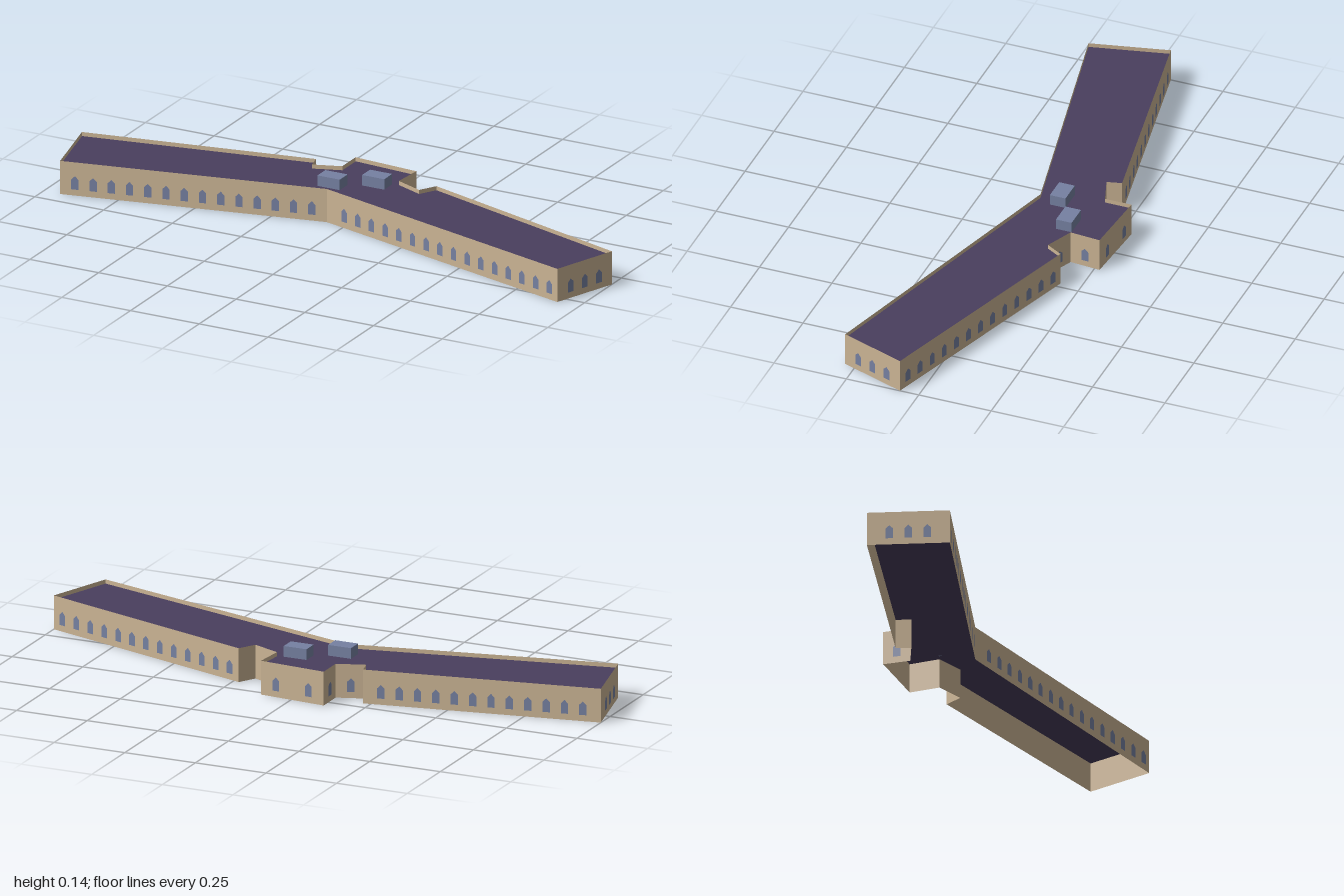
import * as THREE from 'three';

const WALL_H = 0.114, ROOF_Y = 0.1, PITCH = 0.0609;

// Footprint corners [x, z], each with the windows on the wall that starts there:
// count, spacing, and shift along the wall.
const PLAN = [
  { p: [-1, -0.07], n: 3 },                           // right end
  { p: [-0.94, 0.19], n: 14 },                        // right wing front
  { p: [-0.068, 0.007], n: 16, shift: 0.022 },        // left wing front
  { p: [0.92, 0.286], n: 3 },                         // left end
  { p: [1, 0.065], n: 13 },                           // left wing back
  { p: [0.23, -0.181], n: 0 },
  { p: [0.197, -0.125], n: 1 },
  { p: [0.102, -0.165], n: 1 },
  { p: [0.11, -0.268], n: 2, pitch: 0.12 },           // centre block back
  { p: [-0.12, -0.286], n: 1 },
  { p: [-0.12, -0.195], n: 1 },
  { p: [-0.213, -0.163], n: 0 },
  { p: [-0.225, -0.212], n: 12 },                     // right wing back
];

function windowGeometry() {
  const w = 0.0122;
  return new THREE.ShapeGeometry(new THREE.Shape([
    new THREE.Vector2(-w, 0.021), new THREE.Vector2(w, 0.021),
    new THREE.Vector2(w, 0.055), new THREE.Vector2(0, 0.067),
    new THREE.Vector2(-w, 0.055),
  ]));
}

export function createModel() {
  const stone = new THREE.MeshStandardMaterial({ color: 0xccb595, side: THREE.DoubleSide });
  stone.name = 'sandstone';
  const slate = new THREE.MeshStandardMaterial({ color: 0x4a3f5e, side: THREE.DoubleSide });
  slate.name = 'purple roofing';
  const blue = new THREE.MeshStandardMaterial({ color: 0x7681a2 });
  blue.name = 'blue grey';

  const model = new THREE.Group();
  model.name = 'building';
  const add = (parent, name, geometry, material, x = 0, y = 0, z = 0) => {
    const mesh = new THREE.Mesh(geometry, material);
    mesh.name = name;
    mesh.position.set(x, y, z);
    parent.add(mesh);
  };

  // Walls are thin sheets; each side carries its own row of pointed windows
  const pane = windowGeometry();
  PLAN.forEach(({ p, n, pitch = PITCH, shift = 0 }, i) => {
    const q = PLAN[(i + 1) % PLAN.length].p;
    const dx = q[0] - p[0], dz = q[1] - p[1];
    const side = new THREE.Group();
    side.name = 'wallSide';
    side.position.set((p[0] + q[0]) / 2, 0, (p[1] + q[1]) / 2);
    side.rotation.y = Math.atan2(-dz, dx);
    add(side, 'wall', new THREE.PlaneGeometry(Math.hypot(dx, dz), WALL_H), stone, 0, WALL_H / 2, 0);
    for (let k = 0; k < n; k++) {
      add(side, 'window', pane, blue, (k - (n - 1) / 2) * pitch + shift, 0, 0.0015);
    }
    model.add(side);
  });

  // Flat roof set just below the parapet
  const outline = new THREE.Shape(PLAN.map(({ p }) => new THREE.Vector2(p[0], -p[1])));
  add(model, 'roof', new THREE.ShapeGeometry(outline).rotateX(-Math.PI / 2), slate, 0, ROOF_Y, 0);

  // Rooftop plant boxes
  const h = 0.136 - ROOF_Y;
  for (const [x, z] of [[0.04, -0.133], [-0.084, -0.062]]) {
    add(model, 'rooftopBox', new THREE.BoxGeometry(0.081, h, 0.054), blue, x, ROOF_Y + h / 2, z);
  }
  return model;
}
